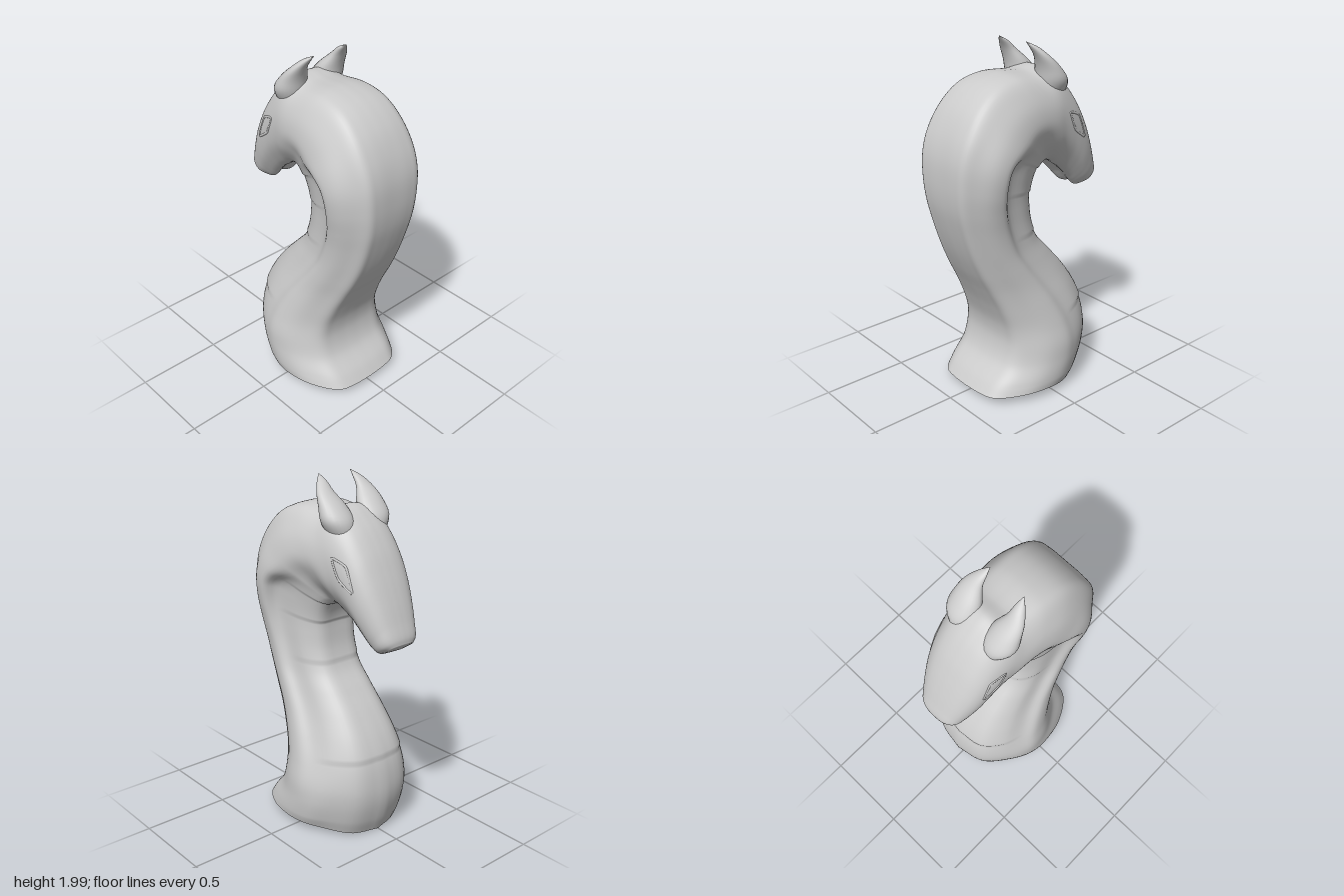
import * as THREE from 'three';

const V = (x, y, z = 0) => new THREE.Vector3(x, y, z);
const material = new THREE.MeshStandardMaterial({ color: 0xcccccc, side: THREE.DoubleSide });

// Stations from base to muzzle: front x, y, back x, y, half width
const stations = [
  [-0.35, 0.01, 0.39, 0.05, 0.35], [-0.385, 0.1, 0.345, 0.11, 0.358], [-0.41, 0.22, 0.255, 0.21, 0.36],
  [-0.41, 0.32, 0.22, 0.32, 0.355], [-0.385, 0.45, 0.225, 0.42, 0.33], [-0.33, 0.57, 0.265, 0.54, 0.3],
  [-0.24, 0.7, 0.32, 0.66, 0.27], [-0.145, 0.81, 0.38, 0.78, 0.252], [-0.06, 0.91, 0.435, 0.91, 0.242],
  [-0.015, 1.02, 0.48, 1.05, 0.245], [0, 1.12, 0.51, 1.18, 0.26], [0, 1.2, 0.52, 1.31, 0.28],
  [-0.02, 1.265, 0.51, 1.45, 0.295], [-0.05, 1.305, 0.47, 1.58, 0.295], [-0.085, 1.325, 0.395, 1.705, 0.28],
  [-0.115, 1.33, 0.28, 1.8, 0.265], [-0.145, 1.32, 0.14, 1.84, 0.25], [-0.17, 1.305, -0.02, 1.835, 0.236],
  [-0.2, 1.28, -0.12, 1.85, 0.222], [-0.25, 1.245, -0.235, 1.77, 0.208], [-0.29, 1.21, -0.33, 1.65, 0.195],
  [-0.32, 1.18, -0.4, 1.52, 0.18], [-0.345, 1.15, -0.455, 1.395, 0.16], [-0.37, 1.125, -0.495, 1.29, 0.14],
  [-0.405, 1.11, -0.522, 1.215, 0.118], [-0.45, 1.125, -0.525, 1.18, 0.085],
];
const LAST = stations.length - 1;
const frontCurve = new THREE.CatmullRomCurve3(stations.map(s => V(s[0], s[1])));
const backCurve = new THREE.CatmullRomCurve3(stations.map(s => V(s[2], s[3], s[4])));

// Half sections starting at the back: position from back (0) to front (1), fraction of the half width
const half = pts => new THREE.CatmullRomCurve3([V(0, 0), ...pts.map(p => V(p[0], p[1]))]);
const sections = [
  // base, mid neck, upper neck, throat, crown, muzzle
  [0, half([[0.01, 0.36], [0.04, 0.6], [0.13, 0.78], [0.3, 0.95], [0.48, 1], [0.62, 0.95], [0.76, 0.78], [0.93, 0.48], [1, 0]])],
  [8, half([[0.01, 0.4], [0.03, 0.64], [0.14, 0.79], [0.3, 0.97], [0.44, 1], [0.57, 0.85], [0.8, 0.76], [0.97, 0.5], [1, 0]])],
  [12, half([[0, 0.38], [0.02, 0.6], [0.12, 0.76], [0.27, 0.96], [0.4, 1], [0.51, 0.78], [0.78, 0.66], [0.98, 0.45], [1, 0]])],
  [14.2, half([[0.01, 0.38], [0.04, 0.62], [0.15, 0.8], [0.32, 0.97], [0.5, 1], [0.68, 0.82], [0.83, 0.66], [0.98, 0.45], [1, 0]])],
  [18, half([[0.02, 0.38], [0.08, 0.66], [0.2, 0.87], [0.35, 0.98], [0.5, 1], [0.67, 0.94], [0.83, 0.76], [0.98, 0.45], [0.96, 0]])],
  [LAST, half([[0.02, 0.4], [0.08, 0.7], [0.2, 0.9], [0.35, 0.99], [0.5, 1], [0.67, 0.94], [0.83, 0.76], [1, 0.45], [0.9, 0]])],
];
const plateEdges = [0, 4.2, 8.4, 10.8, 13];

// Point on the body: u along the stations, v round one half from back to front
function surface(u, v, side) {
  const f = frontCurve.getPoint(u / LAST), b = backCurve.getPoint(u / LAST);
  let k = 0;
  while (k < sections.length - 2 && u > sections[k + 1][0]) k++;
  const mix = THREE.MathUtils.smoothstep(u, sections[k][0], sections[k + 1][0]);
  const p = sections[k][1].getPoint(v).lerp(sections[k + 1][1].getPoint(v), mix);
  // Faintly overlapping belly plates
  let inset = 0;
  for (let i = 0; i < plateEdges.length - 1; i++) {
    const a = plateEdges[i], c = plateEdges[i + 1];
    if (u >= a && u < c) inset = 0.014 * ((u - a) / (c - a)) ** 2 * THREE.MathUtils.smoothstep(v, 0.66, 0.76);
  }
  const t = p.x * (1 - inset);
  const lift = 0.03 * Math.sin(Math.PI * THREE.MathUtils.clamp(t, 0, 1)) * Math.max(0, 1 - u);
  return V(b.x + (f.x - b.x) * t, b.y + (f.y - b.y) * t + lift, side * b.z * p.y * (1 - inset));
}

// Skin over closed rings of equal length
function loft(rings) {
  const n = rings[0].length, index = [];
  for (let i = 0; i < rings.length - 1; i++)
    for (let j = 0; j < n; j++) {
      const a = i * n + j, b = i * n + (j + 1) % n;
      index.push(a, a + n, b, b, a + n, b + n);
    }
  const g = new THREE.BufferGeometry().setFromPoints(rings.flat());
  g.setIndex(index);
  g.computeVertexNormals();
  return g;
}

export function createModel() {
  const group = new THREE.Group();
  const add = (geometry, name) => {
    const mesh = new THREE.Mesh(geometry, material);
    mesh.name = name;
    group.add(mesh);
  };

  // Neck and head in one skin, hollow and open at the base
  const N = 40, rings = [];
  for (let i = 0; i <= 200; i++) {
    const u = i / 200 * LAST, ring = [];
    for (let j = 0; j < 2 * N; j++)
      ring.push(j <= N ? surface(u, j / N, 1) : surface(u, 2 - j / N, -1));
    rings.push(ring);
  }
  // Rounded nose tip
  const nose = rings[rings.length - 1];
  const tip = nose.reduce((s, p) => s.add(p), V(0, 0)).divideScalar(nose.length).add(V(-0.005, -0.008));
  rings.push(nose.map(() => tip));
  add(loft(rings), 'neckAndHead');

  // Swept-back ears rising out of the crown: centre line and radii in x and z
  const earSpine = new THREE.CatmullRomCurve3([
    V(-0.15, 1.68, 0.1), V(-0.137, 1.78, 0.122), V(-0.103, 1.855, 0.13), V(-0.055, 1.92, 0.136), V(-0.01, 1.97, 0.122), V(0.03, 2, 0.108)]);
  const earRadius = new THREE.CatmullRomCurve3([
    V(0.08, 0.06), V(0.085, 0.092), V(0.062, 0.078), V(0.037, 0.05), V(0.022, 0.026), V(0.001, 0.001)]);
  for (const side of [1, -1]) {
    const earRings = [];
    for (let i = 0; i <= 24; i++) {
      const c = earSpine.getPoint(i / 24), r = earRadius.getPoint(i / 24);
      earRings.push(Array.from({ length: 24 }, (_, j) => {
        const a = j / 24 * Math.PI * 2;
        return V(c.x + r.x * Math.cos(a), c.y, side * c.z + r.y * Math.sin(a));
      }));
    }
    add(loft(earRings), side > 0 ? 'leftEar' : 'rightEar');

    // Slanted diamond eyelid sunk into the cheek
    const rim = [[18.5, 0.467], [19.5, 0.4], [20.3, 0.49], [19, 0.56]].map(([u, v]) => surface(u, v, side).add(V(0, 0, -0.002 * side)));
    const lid = new THREE.CatmullRomCurve3(rim, true, 'catmullrom', 0.2);
    add(new THREE.TubeGeometry(lid, 40, 0.007, 8, true), side > 0 ? 'leftEyelid' : 'rightEyelid');
  }
  return group;
}
